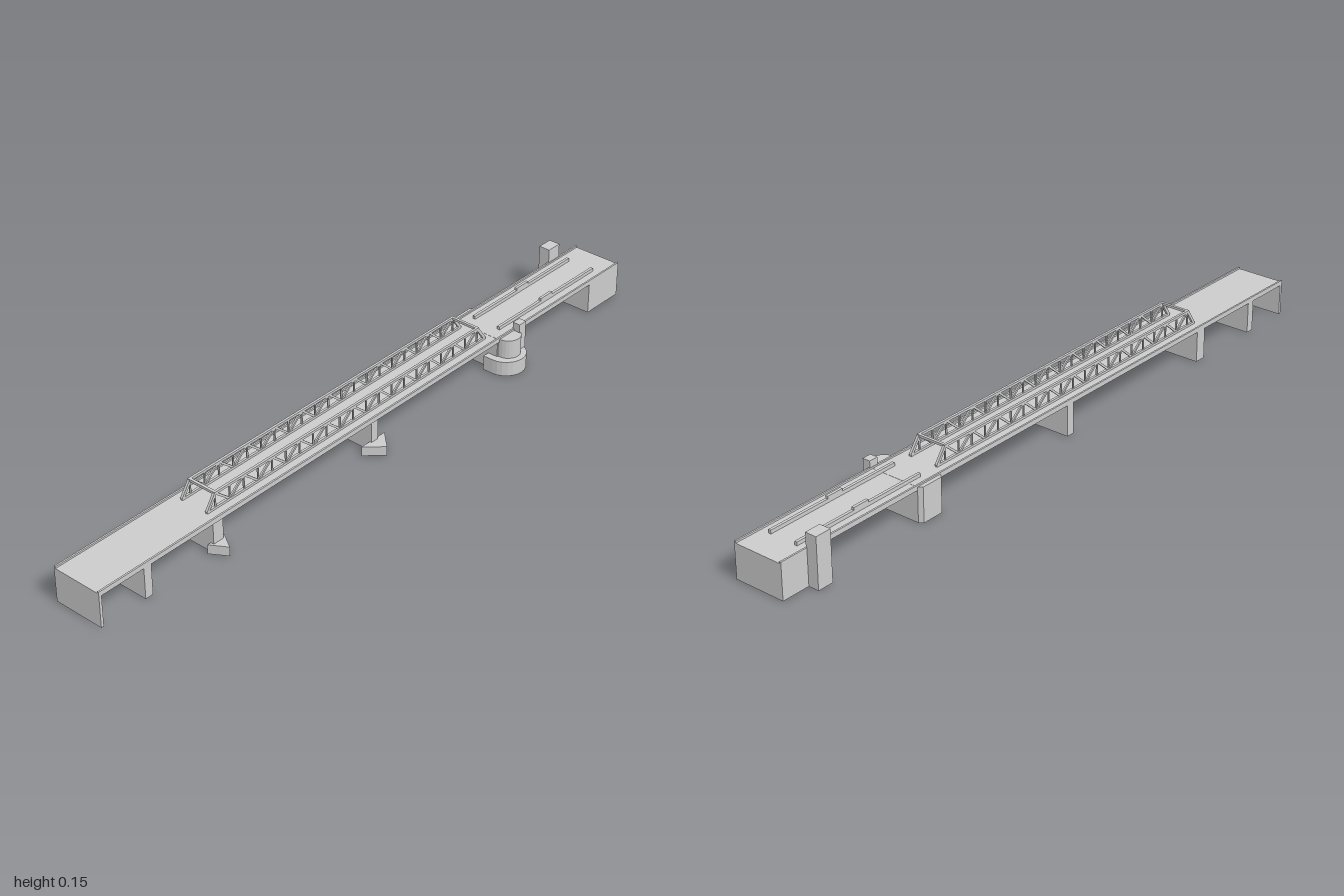
import * as THREE from 'three';

const mat = new THREE.MeshStandardMaterial({ color: 0xcccccc, flatShading: true, side: THREE.DoubleSide });

export function createModel() {
  const root = new THREE.Group();
  root.name = 'bridge';

  const add = (name, geo, parent = root) => {
    const m = new THREE.Mesh(geo, mat);
    m.name = name;
    parent.add(m);
    return m;
  };
  // Box given by its limits on each axis
  const box = (name, x0, x1, y0, y1, z0, z1, parent) =>
    add(name, new THREE.BoxGeometry(x1 - x0, y1 - y0, z1 - z0), parent)
      .position.set((x0 + x1) / 2, (y0 + y1) / 2, (z0 + z1) / 2);
  // Straight bar between two points in a plane of constant z
  const bar = (name, x0, y0, x1, y1, z, t, depth, parent) => {
    const m = add(name, new THREE.BoxGeometry(Math.hypot(x1 - x0, y1 - y0), t, depth), parent);
    m.position.set((x0 + x1) / 2, (y0 + y1) / 2, z);
    m.rotation.z = Math.atan2(y1 - y0, x1 - x0);
  };
  // Vertical prism from a plan outline of [x, z] points
  const prism = (name, plan, y0, y1) => {
    const shape = new THREE.Shape(plan.map(([x, z]) => new THREE.Vector2(x, -z)));
    const g = new THREE.ExtrudeGeometry(shape, { depth: y1 - y0, bevelEnabled: false });
    g.rotateX(-Math.PI / 2).translate(0, y0, 0);
    add(name, g);
  };

  const back = -0.086, front = 0.064, deckTop = 0.098;

  // Deck with raised curbs
  box('deck', -1, 1, 0.089, deckTop, back, front);
  box('backCurb', -1, 1, deckTop, 0.103, back, back + 0.005);
  box('frontCurb', -1, 1, deckTop, 0.103, front - 0.005, front);

  // Abutment with its tower behind
  box('abutment', 0.865, 1, 0, 0.0975, back, front);
  box('abutmentTower', 0.87, 0.917, 0, 0.143, -0.117, -0.083);

  // Wall piers
  box('endWall', -1, -0.992, 0, 0.09, back, front);
  box('wallPier', -0.858, -0.834, 0, 0.09, back, front);

  // Piers with pointed cutwaters at the front foot
  for (const [x, half, wall, z0, tip] of [[-0.609, 0.029, 0.017, 0.05, 0.097], [-0.04, 0.045, 0.012, 0.054, 0.102]]) {
    box('pier', x - wall, x + wall, 0, 0.09, back, front - 0.004);
    prism('cutwater', [[x - half, z0], [x, tip], [x + half, z0]], 0, 0.027);
  }

  // Large pier with a rounded front
  prism('largePier', [[0.46, 0.06], [0.46, -0.086], [0.47, -0.097], [0.535, -0.097], [0.543, -0.086], [0.543, 0.06]], 0, 0.0985);
  const roundFront = (x, z, r) => {
    const pts = [[x - r, 0.03]];
    for (let i = 0; i <= 12; i++) {
      const a = Math.PI * (1 - i / 12);
      pts.push([x + r * Math.cos(a), z + r * Math.sin(a)]);
    }
    return [...pts, [x + r, 0.03]];
  };
  prism('roundBase', roundFront(0.497, 0.06, 0.057), 0, 0.043);
  prism('roundShaft', roundFront(0.5, 0.064, 0.036), 0.043, 0.0975);
  box('pierTower', 0.525, 0.552, 0.04, 0.122, 0.06, 0.083);

  // Trusses, one each side of the roadway
  const xL = -0.587, xR = 0.407, yB = 0.101, yT = 0.1435, panels = 20;
  const step = (xR - xL) / panels;
  for (const [side, z] of [['front', 0.0305], ['back', -0.0535]]) {
    const truss = new THREE.Group();
    truss.name = side + 'Truss';
    root.add(truss);
    bar('bottomChord', -0.617, yB, 0.44, yB, z, 0.007, 0.007, truss);
    bar('topChord', xL, yT, xR, yT, z, 0.007, 0.007, truss);
    bar('endPost', -0.615, yB, xL, yT, z, 0.008, 0.007, truss);
    bar('endPost', 0.438, yB, xR, yT, z, 0.008, 0.007, truss);
    for (let i = 0; i <= panels; i++) {
      const x = xL + i * step;
      bar('vertical', x, yB, x, yT, z, 0.004, 0.004, truss);
      if (i === panels) continue;
      const up = i % 2 === 1;
      bar('diagonal', x, up ? yB : yT, x + step, up ? yT : yB, z, 0.006, 0.005, truss);
    }

    // Low parapet on the approach
    const wall = new THREE.Group();
    wall.name = side + 'Parapet';
    root.add(wall);
    box('parapetWall', 0.5, 0.92, deckTop, 0.108, z - 0.004, z + 0.004, wall);
    box('parapetBlock', 0.682, 0.732, deckTop, 0.115, z - 0.004, z + 0.004, wall);
  }

  // Portal beams joining the trusses at both ends
  for (const x of [xL, xR]) box('portalBeam', x - 0.004, x + 0.004, 0.14, 0.147, -0.057, 0.034);

  return root;
}
